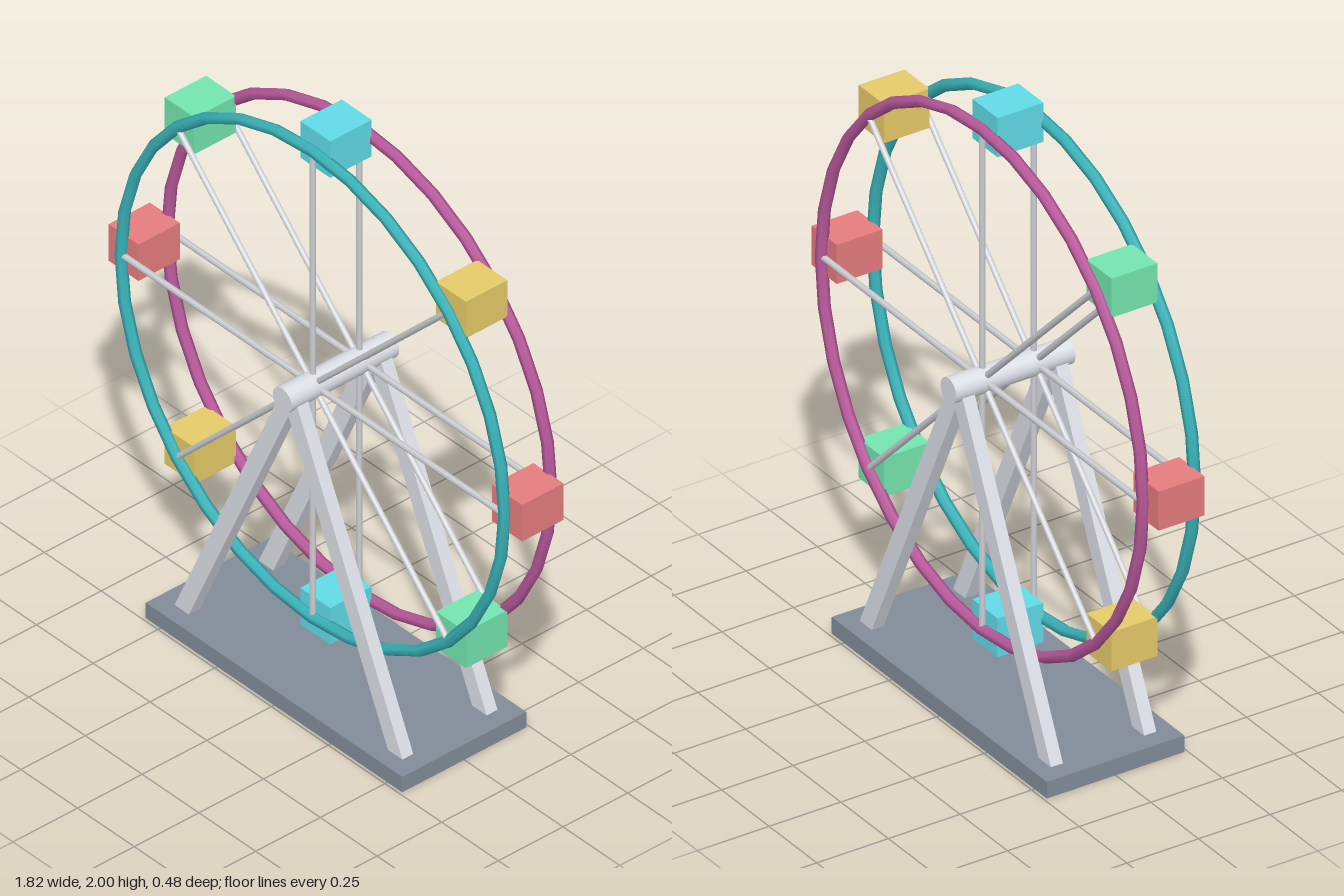
import * as THREE from 'three';

const HUB_Y = 1.089, R = 0.845, RING_Z = 0.09, LEG_Z = 0.163;

function paint(name, color) {
  const m = new THREE.MeshStandardMaterial({ color });
  m.name = name;
  return m;
}

export function createModel() {
  const model = new THREE.Group();
  model.name = 'ferrisWheel';

  const slate = paint('slate', 0x828c99);
  const steel = paint('steel', 0xdbdfe6);
  const spokeGrey = paint('spokeGrey', 0xcfd1d5);
  const teal = paint('teal', 0x3ab5bb);
  const magenta = paint('magenta', 0xbb5a9d);
  const cabinPaints = [
    paint('cabinRed', 0xe67c7e), paint('cabinYellow', 0xe6cb69),
    paint('cabinCyan', 0x61dde9), paint('cabinGreen', 0x74e6af),
  ];

  function add(parent, name, geometry, material, x = 0, y = 0, z = 0) {
    const mesh = new THREE.Mesh(geometry, material);
    mesh.name = name;
    mesh.position.set(x, y, z);
    parent.add(mesh);
    return mesh;
  }

  // Base plate
  add(model, 'base', new THREE.BoxGeometry(1.13, 0.056, 0.48), slate, 0, 0.028, 0);

  // A-frame legs, leaning in to the axle on both sides
  const foot = 0.482, footY = 0.03;
  const rise = HUB_Y - footY;
  const legGeo = new THREE.BoxGeometry(0.058, Math.hypot(foot, rise), 0.042);
  for (const z of [LEG_Z, -LEG_Z]) {
    for (const side of [1, -1]) {
      const leg = add(model, 'supportLeg', legGeo, steel, side * foot / 2, (HUB_Y + footY) / 2, z);
      leg.rotation.z = side * Math.atan2(foot, rise);
    }
  }

  // Axle through the wheel
  const axle = add(model, 'axle', new THREE.CylinderGeometry(0.042, 0.042, 0.416, 16), steel, 0, HUB_Y, 0);
  axle.rotation.x = Math.PI / 2;

  // Wheel: two rims, paired spokes and eight cabins
  const wheel = new THREE.Group();
  wheel.name = 'wheel';
  wheel.position.y = HUB_Y;
  model.add(wheel);

  const rimGeo = new THREE.TorusGeometry(R, 0.019, 6, 32);
  add(wheel, 'frontRim', rimGeo, teal, 0, 0, RING_Z);
  add(wheel, 'backRim', rimGeo, magenta, 0, 0, -RING_Z);

  const spokeGeo = new THREE.CylinderGeometry(0.0105, 0.0105, R, 6);
  const cabinGeo = new THREE.BoxGeometry(0.132, 0.132, 0.16);
  for (let i = 0; i < 8; i++) {
    const a = i * Math.PI / 4, c = Math.cos(a), s = Math.sin(a);
    for (const z of [RING_Z, -RING_Z]) {
      const spoke = add(wheel, 'spoke', spokeGeo, spokeGrey, c * R / 2, s * R / 2, z);
      spoke.rotation.z = a - Math.PI / 2;
    }
    add(wheel, 'cabin', cabinGeo, cabinPaints[i % 4], c * R, s * R, 0);
  }

  return model;
}
